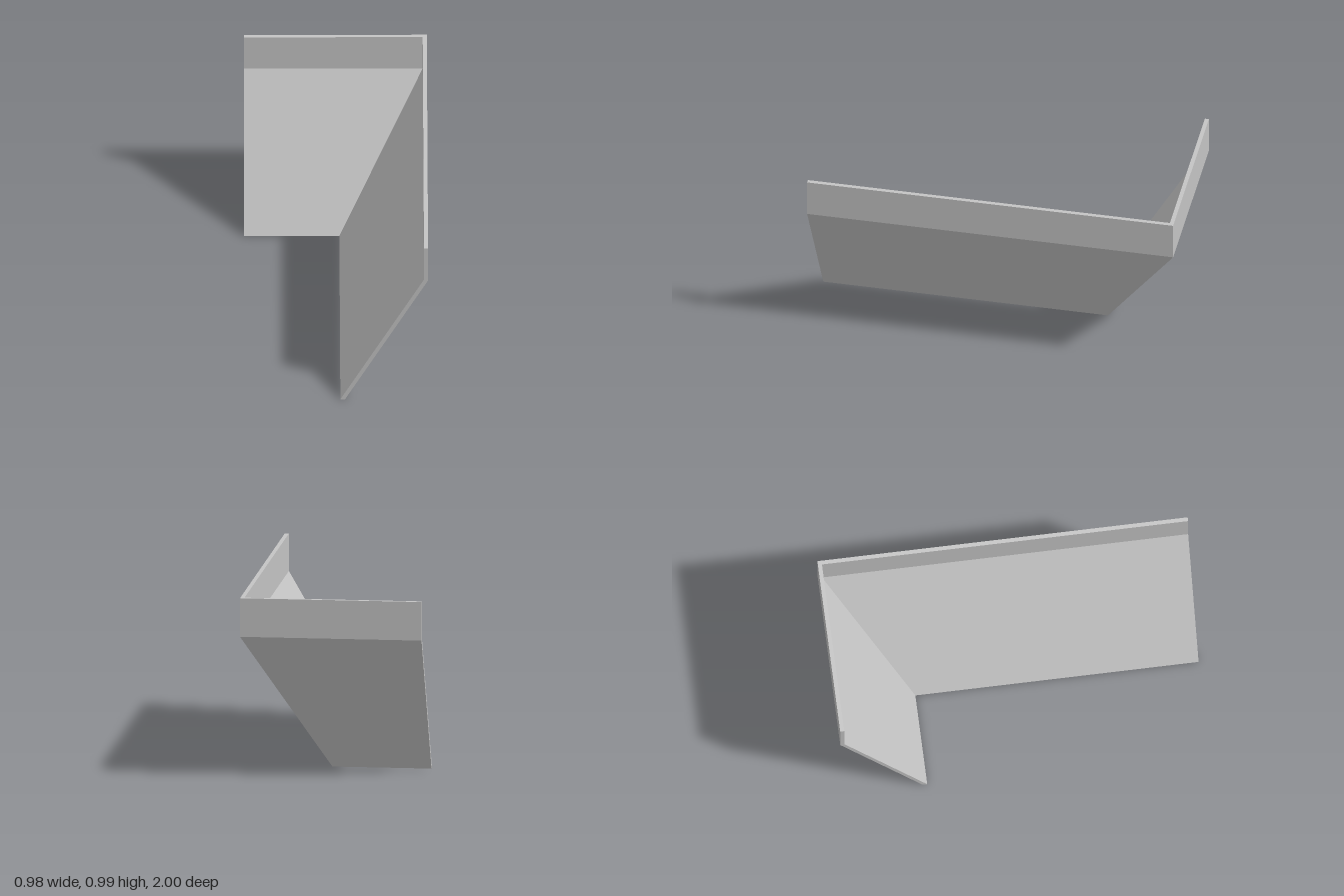
import * as THREE from 'three';

// Flared wall section as [x, y], counter-clockwise seen from the front
const section = [
  [0.49, 0.985], [0.468, 0.985], [0.468, 0.781],
  [0.02, 0], [0.045, 0], [0.49, 0.775],
];

// Builds one wing between two rings of section points, with an optional end cap
function wing(name, a, b, capStart, capEnd, material) {
  const positions = [];
  const quad = (p, q, r, s) => [p, q, r, p, r, s].forEach((v) => positions.push(...v));
  a.forEach((_, i) => {
    const j = (i + 1) % a.length;
    quad(a[i], b[i], b[j], a[j]);
  });
  // The cap is split at the bend so that each half is convex
  if (capStart) {
    quad(a[0], a[1], a[2], a[5]);
    quad(a[5], a[2], a[3], a[4]);
  }
  if (capEnd) {
    quad(b[5], b[2], b[1], b[0]);
    quad(b[4], b[3], b[2], b[5]);
  }
  const geometry = new THREE.BufferGeometry();
  geometry.setAttribute('position', new THREE.Float32BufferAttribute(positions, 3));
  geometry.computeVertexNormals();
  const mesh = new THREE.Mesh(geometry, material);
  mesh.name = name;
  return mesh;
}

export function createModel() {
  const grey = new THREE.MeshStandardMaterial({ color: 0xc4c4c4 });
  grey.name = 'light grey';

  // Front end, mitred corner and far end of the sweep
  const front = section.map(([x, y]) => [x, y, 1]);
  const corner = section.map(([x, y]) => [x, y, -0.51 - x]);
  const end = section.map(([x, y]) => [-0.49, y, -0.51 - x]);

  const group = new THREE.Group();
  group.name = 'flaredCornerPanel';
  group.add(wing('sideWing', front, corner, true, false, grey));
  group.add(wing('backWing', corner, end, false, true, grey));
  return group;
}
